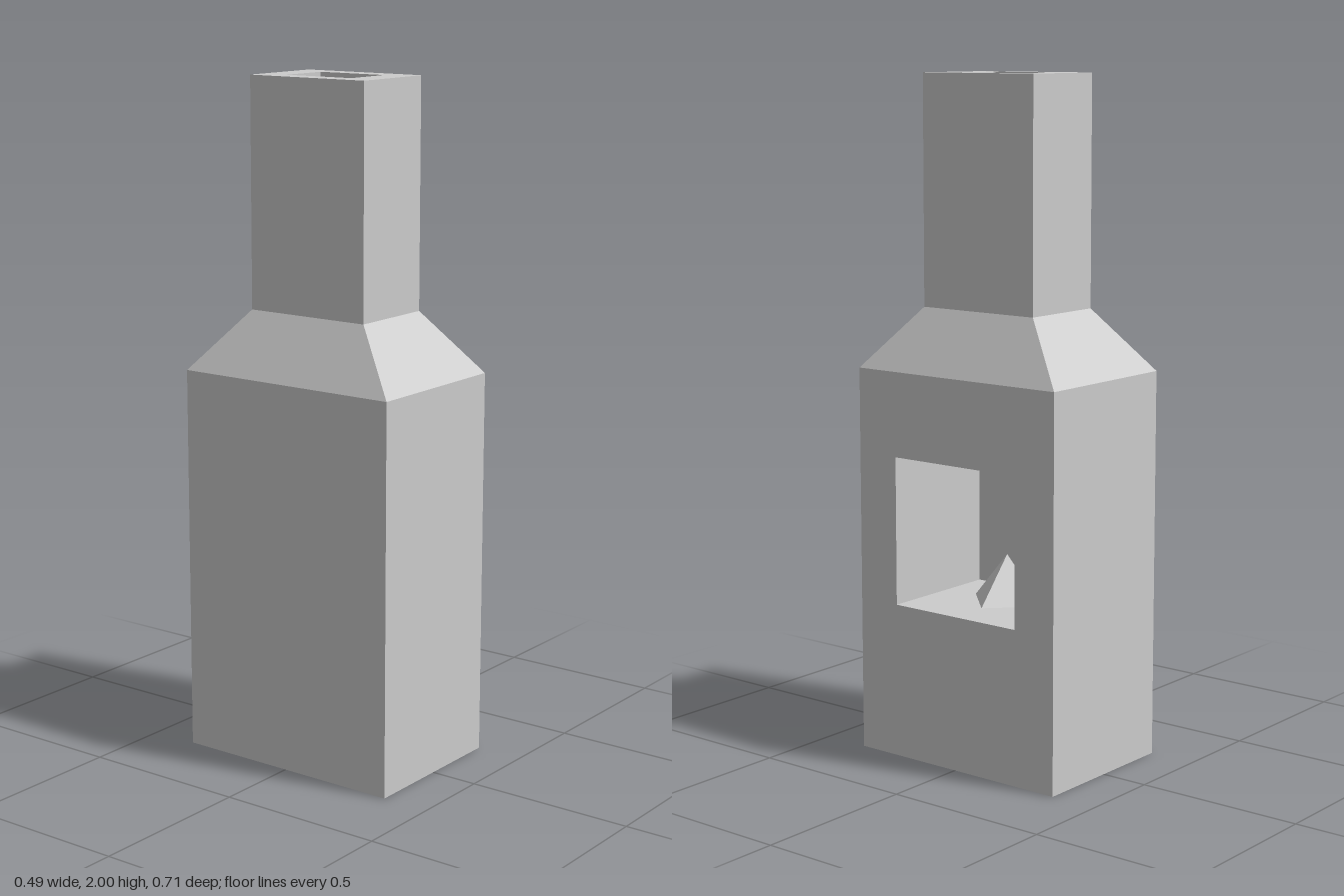
import * as THREE from 'three';

const material = new THREE.MeshStandardMaterial({ color: 0xcccccc, flatShading: true });

// Main dimensions (half widths and heights)
const BODY_X = 0.243, BODY_Z = 0.357, BODY_TOP = 1.15;
const NECK_X = 0.135, NECK_Z = 0.199, NECK_BASE = 1.33;
const FLUE_X = 0.077, FLUE_Z = 0.112;
const FIRE_HALF = 0.22, FIRE_Y = 0.68, FIRE_BACK = -0.14;

// Rectangular sections [halfX, halfZ, y] joined by flat quads; the last one is closed.
function loft(sections, { closeStart = false, skip = () => false } = {}) {
  const pos = [];
  const quad = (a, b, c, d) => pos.push(...a, ...b, ...c, ...a, ...c, ...d);
  const rings = sections.map(([x, z, y]) => [[x, y, z], [x, y, -z], [-x, y, -z], [-x, y, z]]);
  for (let s = 0; s < rings.length - 1; s++) {
    for (let i = 0; i < 4; i++) {
      if (skip(s, i)) continue;
      const j = (i + 1) % 4;
      quad(rings[s][i], rings[s][j], rings[s + 1][j], rings[s + 1][i]);
    }
  }
  quad(...rings[rings.length - 1]);
  if (closeStart) quad(...[...rings[0]].reverse());
  const geometry = new THREE.BufferGeometry();
  geometry.setAttribute('position', new THREE.Float32BufferAttribute(pos, 3));
  geometry.computeVertexNormals();
  return geometry;
}

// Rectangle outline centred on x = 0
function rectangle(path, half, bottom, top) {
  path.moveTo(-half, bottom);
  path.lineTo(half, bottom);
  path.lineTo(half, top);
  path.lineTo(-half, top);
  path.closePath();
  return path;
}

export function createModel() {
  const group = new THREE.Group();
  group.name = 'fireplace';
  const add = (name, geometry) => {
    const mesh = new THREE.Mesh(geometry, material);
    mesh.name = name;
    group.add(mesh);
    return mesh;
  };

  // Body, sloped shoulder, chimney, rim and flue; the opening side is left out
  add('chimneyShell', loft([
    [BODY_X, BODY_Z, 0],
    [BODY_X, BODY_Z, BODY_TOP],
    [NECK_X, NECK_Z, NECK_BASE],
    [NECK_X, NECK_Z, 2],
    [FLUE_X, FLUE_Z, 2],
    [FLUE_X, FLUE_Z, NECK_BASE],
  ], { closeStart: true, skip: (band, side) => band === 0 && side === 0 }));

  // Side wall with the square opening
  const wall = rectangle(new THREE.Shape(), BODY_Z, 0, BODY_TOP);
  wall.holes.push(rectangle(new THREE.Path(), FIRE_HALF, FIRE_Y - FIRE_HALF, FIRE_Y + FIRE_HALF));
  const wallMesh = add('openingWall', new THREE.ShapeGeometry(wall));
  wallMesh.rotation.y = Math.PI / 2;
  wallMesh.position.x = BODY_X;

  // Recess behind the opening, facing inward
  const firebox = add('firebox', loft([
    [FIRE_HALF, FIRE_HALF, BODY_X],
    [FIRE_HALF, FIRE_HALF, FIRE_BACK],
  ]));
  firebox.rotation.z = -Math.PI / 2;
  firebox.position.y = FIRE_Y;

  // Small pyramid of fire on the recess floor
  const fireHeight = 0.14;
  const fire = add('fire', new THREE.ConeGeometry(0.12, fireHeight, 4));
  fire.position.y = FIRE_Y - FIRE_HALF + fireHeight / 2;

  return group;
}
